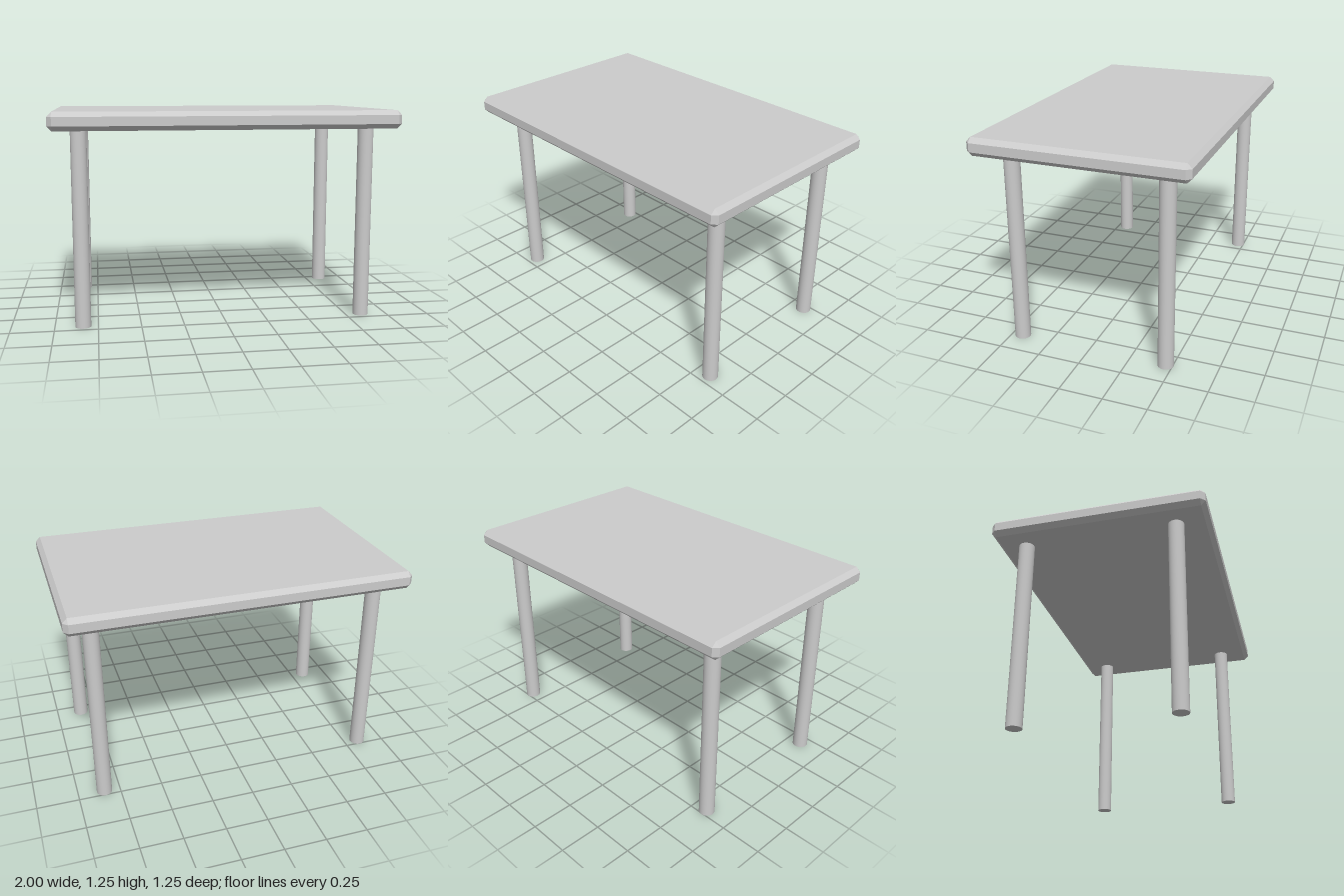
import * as THREE from 'three';
import { ConvexGeometry } from 'three/addons/geometries/ConvexGeometry.js';

const material = new THREE.MeshStandardMaterial({ color: 0xcccccc });

// Box with every edge cut at 45 degrees: three points per corner
function chamferedBox(width, height, depth, cut) {
  const points = [];
  for (const sx of [-1, 1]) for (const sy of [-1, 1]) for (const sz of [-1, 1]) {
    const x = width / 2, y = height / 2, z = depth / 2;
    points.push(
      new THREE.Vector3(sx * x, sy * (y - cut), sz * (z - cut)),
      new THREE.Vector3(sx * (x - cut), sy * y, sz * (z - cut)),
      new THREE.Vector3(sx * (x - cut), sy * (y - cut), sz * z)
    );
  }
  return new ConvexGeometry(points);
}

export function createModel() {
  const table = new THREE.Group();
  table.name = 'table';

  const bottom = 1.143, thickness = 0.105;

  // Table top with bevelled edges
  const top = new THREE.Mesh(chamferedBox(2, thickness, 1.25, 0.027), material);
  top.name = 'tableTop';
  top.position.y = bottom + thickness / 2;
  table.add(top);

  // Four round legs, set slightly off centre
  const legGeometry = new THREE.CylinderGeometry(0.046, 0.046, bottom, 32);
  for (const [side, x] of [['Left', 0.844], ['Right', -0.837]]) {
    for (const [end, z] of [['front', 0.433], ['back', -0.461]]) {
      const leg = new THREE.Mesh(legGeometry, material);
      leg.name = `${end}${side}Leg`;
      leg.position.set(x, bottom / 2, z);
      table.add(leg);
    }
  }
  return table;
}
